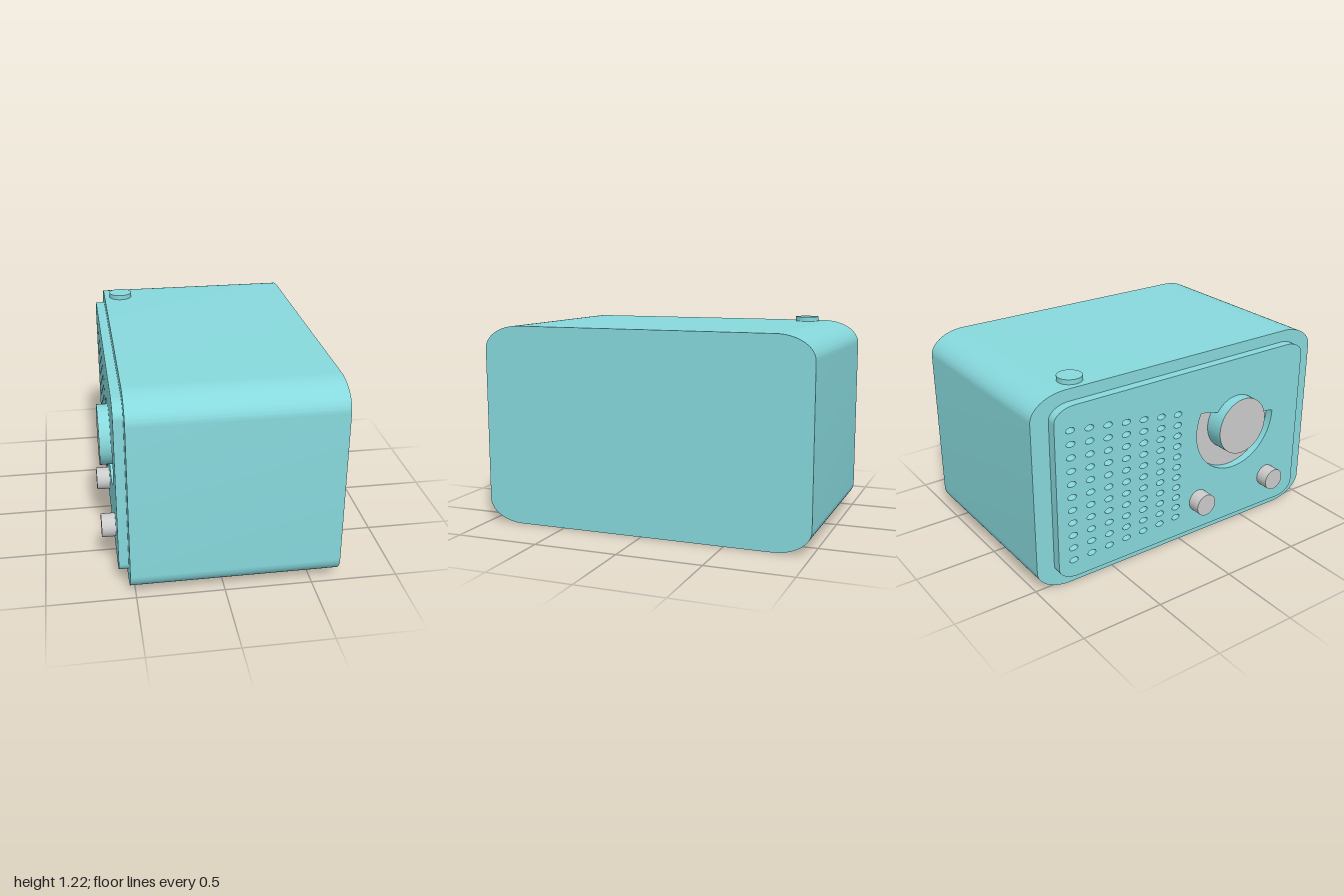
import * as THREE from 'three';
import { toCreasedNormals } from 'three/addons/utils/BufferGeometryUtils.js';

const teal = new THREE.MeshStandardMaterial({ color: 0x87d9dd });
const grey = new THREE.MeshStandardMaterial({ color: 0xcccccc });

// Rectangle with elliptical corners, drawn with z across and y up
function roundedRect(z0, z1, y0, y1, rz, ry) {
  const s = new THREE.Shape();
  const corner = (z, y, a) => s.absellipse(z, y, rz, ry, a, a + Math.PI / 2, false, 0);
  s.moveTo(z0 + rz, y0);
  corner(z1 - rz, y0 + ry, -Math.PI / 2);
  corner(z1 - rz, y1 - ry, 0);
  corner(z0 + rz, y1 - ry, Math.PI / 2);
  corner(z0 + rz, y0 + ry, Math.PI);
  s.closePath();
  return s;
}

// Extrude a z-y outline from xBack out to xFront (towards -x)
function slab(shape, xBack, xFront, curveSegments) {
  const g = new THREE.ExtrudeGeometry(shape, { depth: xBack - xFront, bevelEnabled: false, curveSegments });
  g.rotateY(-Math.PI / 2).translate(xBack, 0, 0);
  return toCreasedNormals(g, 0.6);
}

export function createModel() {
  const model = new THREE.Group();
  model.name = 'tabletopRadio';
  const add = (name, geometry, material) => {
    const mesh = new THREE.Mesh(geometry, material);
    mesh.name = name;
    model.add(mesh);
    return mesh;
  };

  // Cylinder whose axis runs along x; its outer cap faces -x
  const knob = (name, r, y, z, xBack, xFront, materials) => {
    const g = new THREE.CylinderGeometry(r, r, xBack - xFront, 48);
    g.rotateZ(Math.PI / 2).translate((xBack + xFront) / 2, y, z);
    add(name, g, materials);
  };

  // Main case
  add('case', slab(roundedRect(-1, 1, 0, 1.195, 0.22, 0.14), 0.66, -0.53, 16), teal);

  // Face panel with speaker holes and a dial window
  const panel = roundedRect(-0.89, 0.885, 0.07, 1.125, 0.13, 0.08);
  const columns = 7, rows = 11;
  for (let i = 0; i < columns; i++) {
    const bottom = 0.18 + 0.004 * i, top = 0.985 - 0.017 * i;
    for (let j = 0; j < rows; j++) {
      const y = bottom + (top - bottom) * j / (rows - 1);
      const hole = new THREE.Path();
      hole.absellipse(-0.793 + 0.12 * i, y, 0.028, 0.017, 0, Math.PI * 2, true, 0);
      panel.holes.push(hole);
    }
  }
  const dialZ = 0.37, dialY = 0.713;
  const dialWindow = new THREE.Path();
  dialWindow.absarc(dialZ, dialY, 0.3, 2.69, Math.PI * 2, false);
  dialWindow.closePath();
  panel.holes.push(dialWindow);
  add('facePanel', slab(panel, -0.53, -0.585, 12), teal);

  // Grey backing seen through the openings
  add('speakerBacking', slab(roundedRect(-0.85, 0.85, 0.1, 1.09, 0.1, 0.06), -0.53, -0.536, 8), grey);

  // Tuning dial: coloured rim, grey outer face
  knob('tuningDial', 0.177, dialY, dialZ, -0.53, -0.65, [teal, teal, grey]);
  model.getObjectByName('tuningDial').material = [teal, grey, grey];

  // Two control knobs below the dial
  knob('innerKnob', 0.068, 0.267, 0.098, -0.56, -0.665, grey);
  knob('outerKnob', 0.068, 0.267, 0.647, -0.56, -0.665, grey);

  // Button on the top of the case
  const button = new THREE.CylinderGeometry(0.072, 0.072, 0.05, 48);
  add('topButton', button, teal).position.set(-0.425, 1.198, -0.69);

  return model;
}
